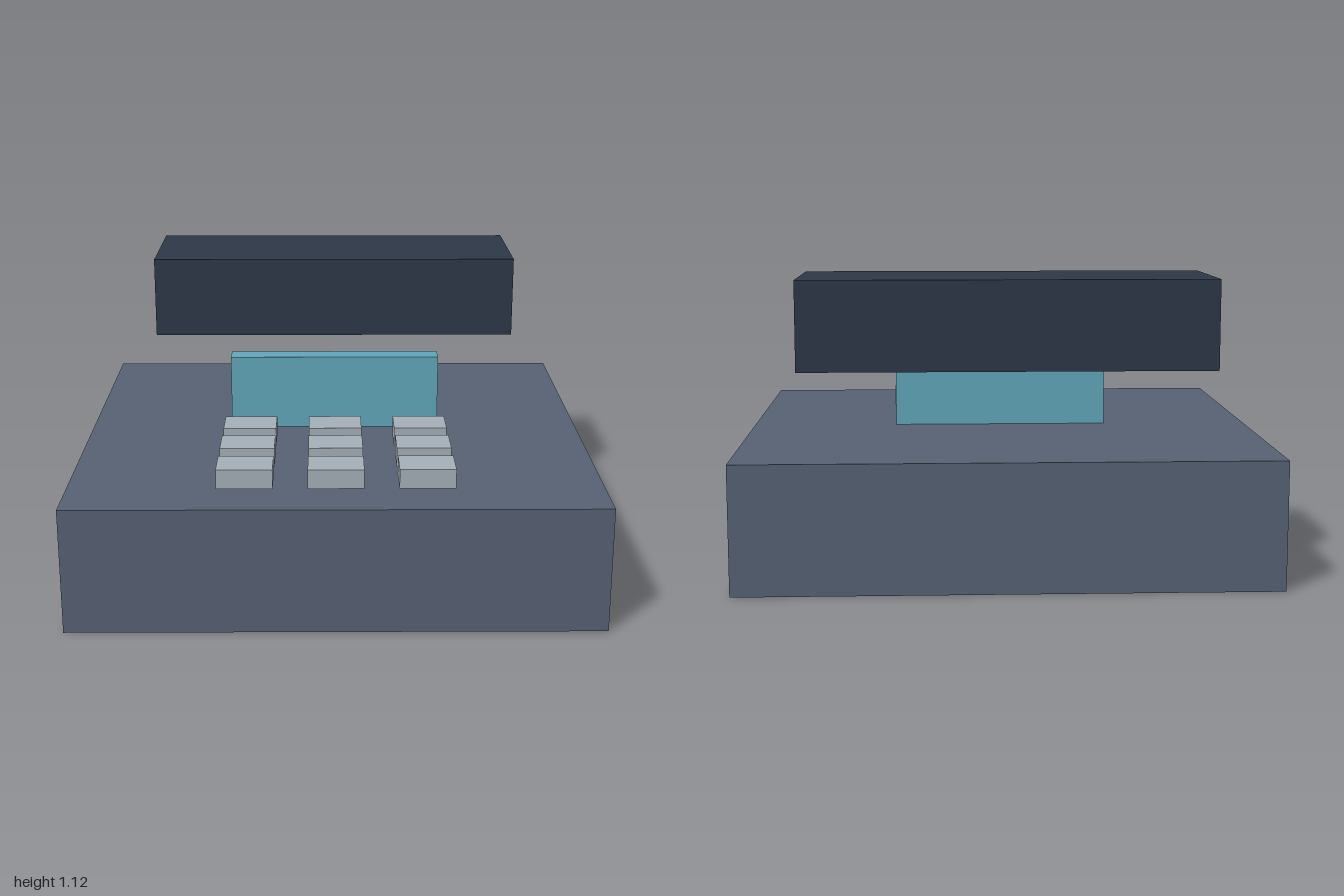
import * as THREE from 'three';

export function createModel() {
  const model = new THREE.Group();
  const mat = (color) => new THREE.MeshStandardMaterial({ color });
  const slate = mat(0x566173), navy = mat(0x2d3748), teal = mat(0x60a6ba), pale = mat(0xa5afb8);

  // Box given by its size and centre
  function box(name, material, [w, h, d], [x, y, z], parent = model) {
    const mesh = new THREE.Mesh(new THREE.BoxGeometry(w, h, d), material);
    mesh.name = name;
    mesh.position.set(x, y, z);
    parent.add(mesh);
  }

  box('base', slate, [2, 0.48, 1.9], [0, 0.24, 0]);
  box('handset', navy, [1.524, 0.33, 0.52], [0, 0.955, -0.572]);
  box('screen', teal, [0.85, 0.3, 0.09], [0, 0.63, -0.039]);

  // Keypad: three by three keys hovering just above the base
  const keypad = new THREE.Group();
  keypad.name = 'keypad';
  for (let row = 0; row < 3; row++) {
    for (let col = -1; col <= 1; col++) {
      box('key', pale, [0.206, 0.073, 0.152], [col * 0.334, 0.555, 0.287 + row * 0.238], keypad);
    }
  }
  model.add(keypad);
  return model;
}
